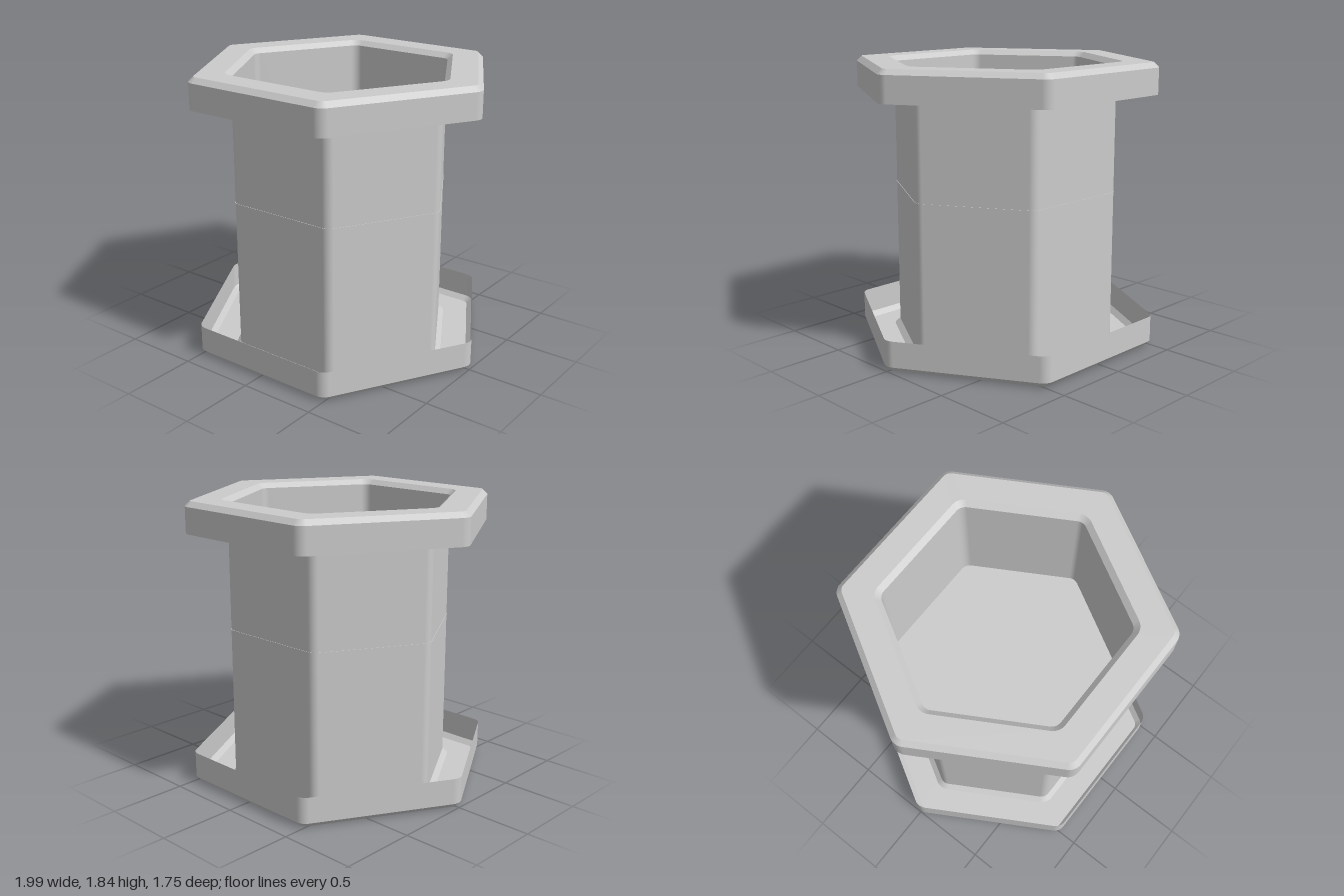
import * as THREE from 'three';

const HEIGHT = 1.84;
const CORNER_STEPS = 6;
const material = new THREE.MeshStandardMaterial({ color: 0xcccccc, side: THREE.DoubleSide });

// Rounded hexagon, corners on +-x: points [x, z, normalX, normalZ]
function hexRing(apothem, radius) {
  const points = [];
  const centre = (apothem - radius) / Math.cos(Math.PI / 6);
  for (let k = 0; k < 6; k++) {
    const corner = k * Math.PI / 3;
    for (let i = 0; i <= CORNER_STEPS; i++) {
      const a = corner + (i / CORNER_STEPS - 0.5) * Math.PI / 3;
      const nx = Math.cos(a), nz = Math.sin(a);
      points.push([centre * Math.cos(corner) + radius * nx, centre * Math.sin(corner) + radius * nz, nx, nz]);
    }
  }
  return points;
}

// Sweeps a profile of [apothem, cornerRadius, y] round the hexagon, with sharp edges between bands
function hexSweep(profile) {
  const position = [], normal = [], index = [];
  for (let b = 0; b < profile.length - 1; b++) {
    const [a0, r0, y0] = profile[b], [a1, r1, y1] = profile[b + 1];
    const lower = hexRing(a0, r0), upper = hexRing(a1, r1);
    const n = lower.length, start = position.length / 3;
    const length = Math.hypot(a1 - a0, y1 - y0);
    const out = (y1 - y0) / length, up = (a0 - a1) / length;
    for (let i = 0; i < n; i++) {
      const [x0, z0, nx, nz] = lower[i], [x1, z1] = upper[i];
      position.push(x0, y0, z0, x1, y1, z1);
      for (let j = 0; j < 2; j++) normal.push(nx * out, up, nz * out);
      const p = start + 2 * i, q = start + 2 * ((i + 1) % n);
      index.push(p, p + 1, q, q, p + 1, q + 1);
    }
  }
  const geometry = new THREE.BufferGeometry();
  geometry.setAttribute('position', new THREE.Float32BufferAttribute(position, 3));
  geometry.setAttribute('normal', new THREE.Float32BufferAttribute(normal, 3));
  geometry.setIndex(index);
  return geometry;
}

function addMesh(group, name, geometry) {
  const mesh = new THREE.Mesh(geometry, material);
  mesh.name = name;
  group.add(mesh);
  return mesh;
}

export function createModel() {
  const group = new THREE.Group();
  group.name = 'hexagonalSpool';

  // Flange: open skirt, outer chamfer, flat rim, chamfer into the bore
  const flange = hexSweep([
    [0.873, 0.08, 1.64],
    [0.873, 0.08, HEIGHT - 0.032],
    [0.841, 0.05, HEIGHT],
    [0.677, 0.09, HEIGHT],
    [0.643, 0.065, HEIGHT - 0.032],
  ]);
  addMesh(group, 'topFlange', flange);
  const bottom = addMesh(group, 'bottomFlange', flange);
  bottom.rotation.x = Math.PI;
  bottom.position.y = HEIGHT;

  // Thin-walled tube joining the flanges
  addMesh(group, 'tube', hexSweep([[0.643, 0.065, 0.032], [0.643, 0.065, HEIGHT - 0.032]]));

  // Partition closing the bore, its edge just showing on the outside
  const outline = hexRing(0.646, 0.065).map(([x, z]) => new THREE.Vector2(x, z));
  const partition = addMesh(group, 'partition', new THREE.ShapeGeometry(new THREE.Shape(outline)));
  partition.rotation.x = -Math.PI / 2;
  partition.position.y = 1.01;

  return group;
}
